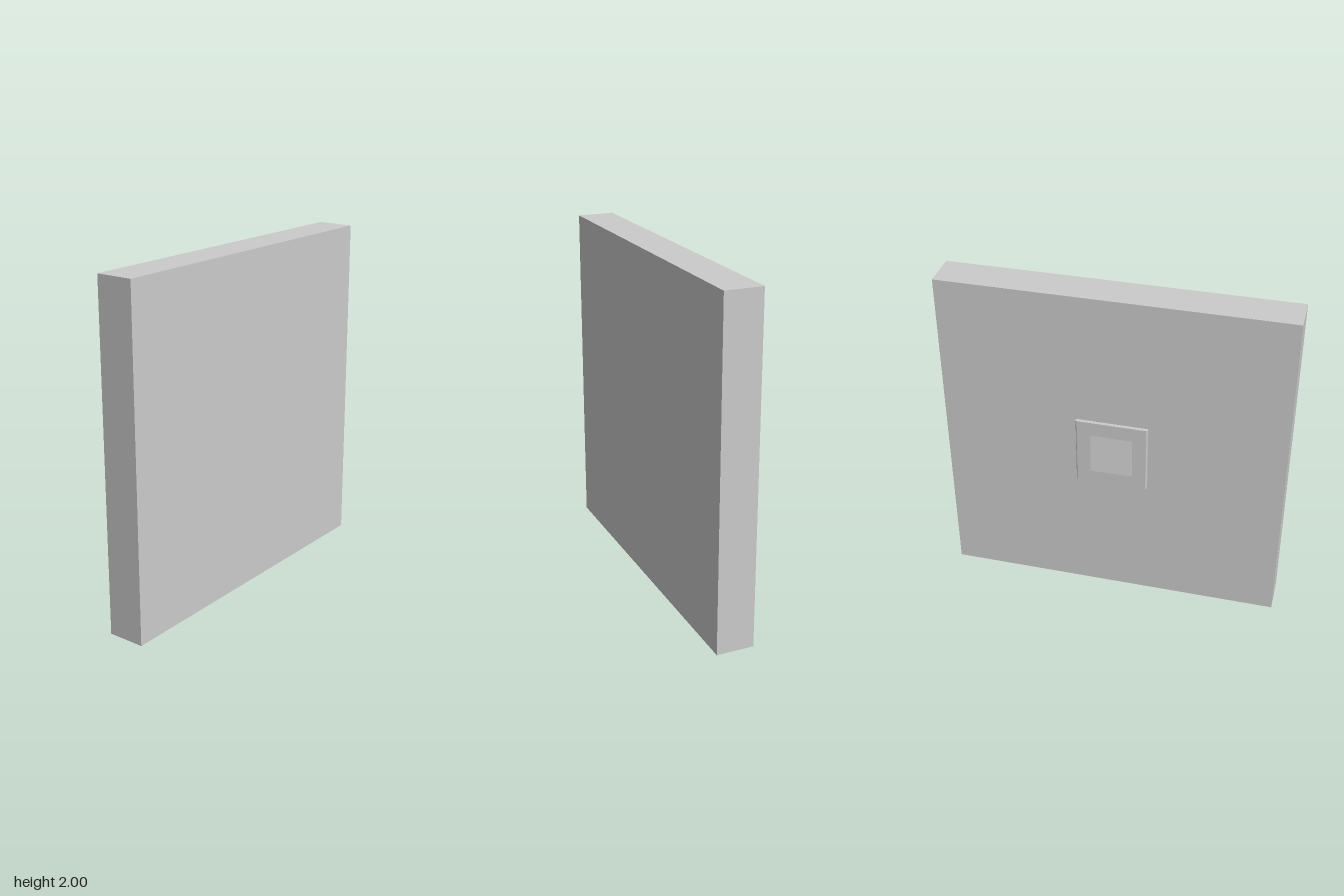
import * as THREE from 'three';

const BACK = -0.09;   // rear face of the wall
const PLATE = 0.42;   // cover plate side
const HOLE = 0.244;   // opening side
const THICK = 0.021;  // plate thickness
const MID = 1.0;      // height of the switch

export function createModel() {
  const model = new THREE.Group();
  const material = new THREE.MeshStandardMaterial({ color: 0xcccccc, flatShading: true });

  const add = (name, geometry, x, y, z, parent = model) => {
    const mesh = new THREE.Mesh(geometry, material);
    mesh.name = name;
    mesh.position.set(x, y, z);
    parent.add(mesh);
    return mesh;
  };

  // Wall panel
  add('wall', new THREE.BoxGeometry(2, 2, 0.22), 0, 1, BACK + 0.11);

  // Cover plate: a square frame whose two upright edges are rounded
  const plate = new THREE.Group();
  plate.name = 'coverPlate';
  model.add(plate);
  const rail = (PLATE - HOLE) / 2;
  const r = 0.01;
  for (const side of [-1, 1]) {
    const inner = side * HOLE / 2, outer = side * PLATE / 2;
    const profile = new THREE.Shape();
    profile.moveTo(inner, 0);
    profile.lineTo(outer, 0);
    profile.lineTo(outer, THICK - r);
    profile.quadraticCurveTo(outer, THICK, outer - side * r, THICK);
    profile.lineTo(inner, THICK);
    profile.closePath();
    const geometry = new THREE.ExtrudeGeometry(profile, { depth: PLATE, bevelEnabled: false, curveSegments: 4 });
    // profile depth points to -z, extrusion runs up y
    geometry.rotateX(-Math.PI / 2);
    add(side < 0 ? 'rightStile' : 'leftStile', geometry, 0, MID - PLATE / 2, BACK, plate);
    add(side < 0 ? 'bottomRail' : 'topRail', new THREE.BoxGeometry(HOLE, rail, THICK),
      0, MID + side * (HOLE + rail) / 2, BACK - THICK / 2, plate);
  }

  // Rocker tilted in the opening, lower edge standing proud
  const depth = 0.03;
  const rocker = add('rocker', new THREE.BoxGeometry(0.24, 0.236, depth), 0, MID, BACK - 0.026 + depth / 2);
  rocker.rotation.x = -THREE.MathUtils.degToRad(-7);

  return model;
}
